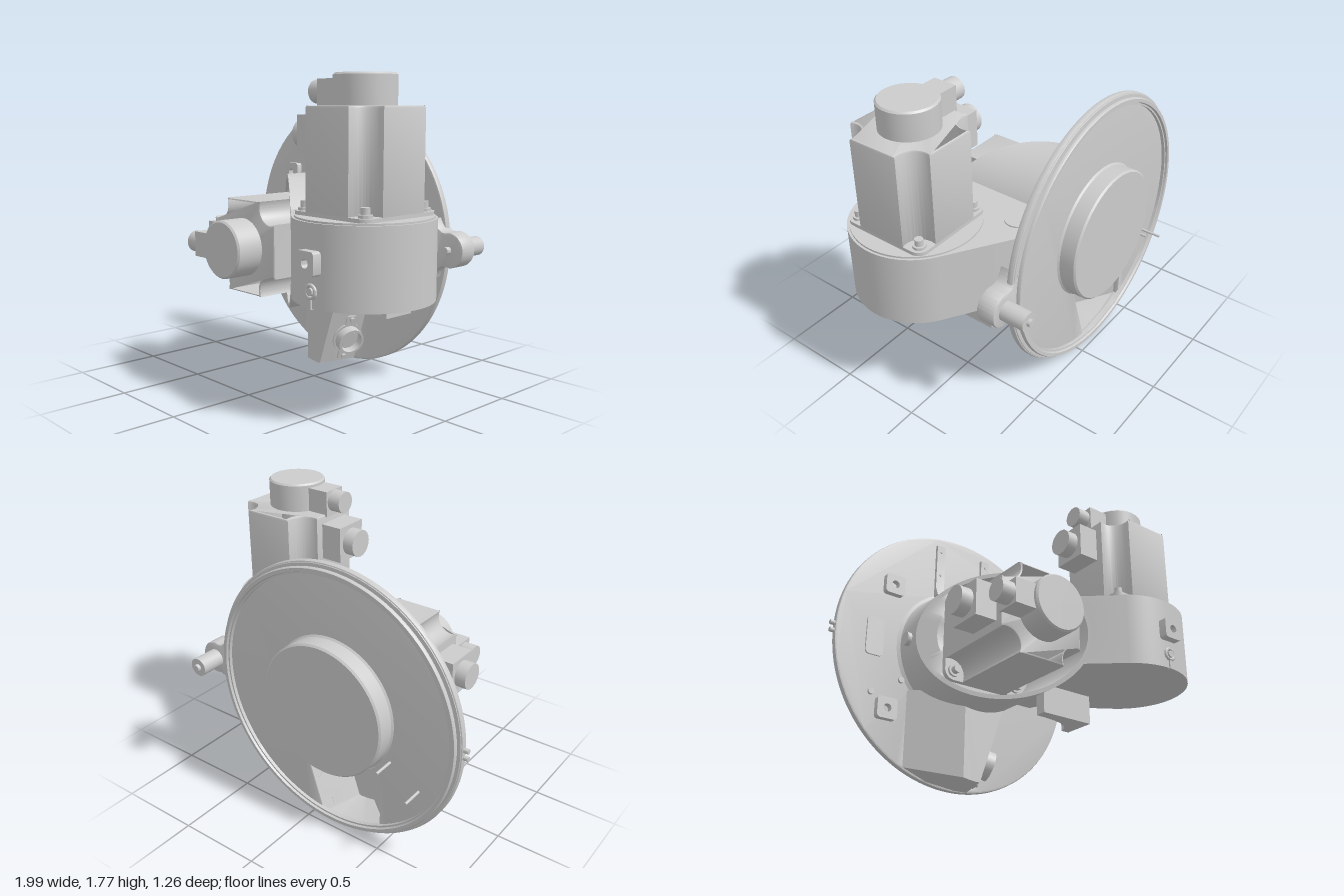
import * as THREE from 'three';
import { toCreasedNormals } from 'three/addons/utils/BufferGeometryUtils.js';

const material = new THREE.MeshStandardMaterial({ color: 0xcccccc, side: THREE.DoubleSide });
const CX = -0.16, CY = 0.825;                       // main axis (along z)
const DRUM = { x: 0.615, z: 0.215, r: 0.375, y0: 0.635, y1: 1.06 };
const cut = x => -0.25 + 0.8 * (x + 0.555);          // slanted front face of the arm

function add(parent, name, geo, x = 0, y = 0, z = 0) {
  const m = new THREE.Mesh(toCreasedNormals(geo, 0.6), material);
  m.name = name;
  m.position.set(x, y, z);
  parent.add(m);
  return m;
}
const box = (w, h, d) => new THREE.BoxGeometry(w, h, d);
const cyl = (r, h, axis = 'y', n = 32) => {
  const g = new THREE.CylinderGeometry(r, r, h, n);
  return axis === 'z' ? g.rotateX(Math.PI / 2) : axis === 'x' ? g.rotateZ(Math.PI / 2) : g;
};
const V = p => p.map(([a, b]) => new THREE.Vector2(a, b));
const poly = p => new THREE.Shape(V(p));
const extrude = (shape, depth, bevel = 0, steps = 1) => new THREE.ExtrudeGeometry(shape, {
  depth, steps, curveSegments: 24, bevelEnabled: bevel > 0, bevelSize: bevel, bevelThickness: bevel, bevelOffset: -bevel, bevelSegments: 2 });
const latheZ = (p, n = 96) => new THREE.LatheGeometry(V(p), n).rotateX(Math.PI / 2);
const roundedRect = (w, h, r) => {
  const s = new THREE.Shape(), x = w / 2, y = h / 2;
  s.absarc(x - r, y - r, r, 0, Math.PI / 2);
  s.absarc(-x + r, y - r, r, Math.PI / 2, Math.PI);
  s.absarc(-x + r, -y + r, r, Math.PI, Math.PI * 1.5);
  s.absarc(x - r, -y + r, r, Math.PI * 1.5, Math.PI * 2);
  return s;
};
const circleHole = (shape, x, y, r) => {
  shape.holes.push(new THREE.Path().absarc(x, y, r, 0, Math.PI * 2, true));
  return shape;
};

// Motor standing on y = 0, connectors toward -x
function motor(name) {
  const g = new THREE.Group();
  g.name = name;
  const up = (s, h, b) => extrude(s, h, b).rotateX(-Math.PI / 2);
  add(g, 'motorFlange', up(roundedRect(0.54, 0.54, 0.06), 0.03));
  const body = new THREE.Shape(), c = 0.235, a0 = Math.acos(0.035 / 0.09);
  // square with a scooped notch at every corner
  for (let k = 0; k < 4; k++) {
    const q = k * Math.PI / 2, d = Math.SQRT2 * c, t = q + Math.PI / 4;
    body.absarc(d * Math.cos(t), d * Math.sin(t), 0.09, q - a0, q - 2 * Math.PI + Math.PI / 2 + a0, true);
  }
  add(g, 'motorBody', up(body, 0.53, 0.012), 0, 0.012 + 0.008);
  add(g, 'motorCap', new THREE.LatheGeometry(V([[0.165, 0], [0.165, 0.165], [0.155, 0.175], [0, 0.175]]), 48), 0, 0.55, 0);
  add(g, 'capConnectorBlock', box(0.28, 0.15, 0.145), -0.14, 0.625, 0);
  add(g, 'capConnector', cyl(0.063, 0.09, 'x'), -0.315, 0.635, 0);
  add(g, 'sideConnectorBlock', box(0.14, 0.21, 0.21), -0.33, 0.41, 0);
  add(g, 'sideConnector', cyl(0.08, 0.08, 'x'), -0.43, 0.41, 0);
  for (const x of [-0.215, 0.215]) for (const z of [-0.215, 0.215]) {
    add(g, 'boltWasher', cyl(0.036, 0.02), x, 0.035, z);
    add(g, 'boltHead', cyl(0.024, 0.04, 'y', 12), x, 0.06, z);
  }
  return g;
}

// Square mounting pad with a hole, facing +z
const pad = (parent, x, y, z, depth) =>
  add(parent, 'mountingPad', extrude(circleHole(roundedRect(0.125, 0.125, 0.02), 0, 0, 0.024), depth), x, y, z);

export function createModel() {
  const root = new THREE.Group();

  // Cable pedestal outlines: at the disc and at its front
  const backLine = [[-0.51, 0.55], [-0.51, 0.1], [-0.35, 0.04], [-0.16, 0.018], [-0.07, 0.02], [0.08, 0.5]];
  const frontLine = [[-0.25, 0.55], [-0.25, 0.03], [-0.2, 0.022], [-0.16, 0.018], [-0.14, 0.02], [0.02, 0.5]];

  // Base disc with the opening into the pedestal
  const disc = new THREE.Shape().absarc(CX, CY, 0.815, 0, Math.PI * 2);
  disc.holes.push(new THREE.Path(V(backLine.map(([x, y]) => [-0.2 + (x + 0.2) * 0.9, 0.3 + (y - 0.3) * 0.9]).reverse())));
  add(root, 'baseDisc', new THREE.ExtrudeGeometry(disc, { depth: 0.02, curveSegments: 96, bevelSize: 0.01, bevelThickness: 0.01, bevelOffset: -0.01, bevelSegments: 2 }), 0, 0, -0.445);
  add(root, 'rearRim', latheZ([[0.75, -0.45], [0.75, -0.475], [0.76, -0.475], [0.765, -0.488], [0.785, -0.488], [0.79, -0.48], [0.79, -0.468],
    [0.775, -0.465], [0.775, -0.46], [0.805, -0.458], [0.81, -0.445]]), CX, CY, 0);
  add(root, 'rearHub', latheZ([[0.41, -0.45], [0.395, -0.465], [0.395, -0.555], [0.385, -0.565], [0, -0.565]]), CX, CY, 0);

  // Bored hub, its front rim cut off on a slant
  const hub = latheZ([[0.425, -0.415], [0.405, -0.405], [0.395, -0.38], [0.395, 1], [0.37, 1], [0.37, -0.16], [0.3, -0.16], [0, -0.16]]);
  const hp = hub.attributes.position;
  for (let i = 0; i < hp.count; i++) {
    const c = cut(hp.getX(i) + CX);
    if (hp.getZ(i) > 0.9) hp.setZ(i, c);
    else hp.setZ(i, Math.min(hp.getZ(i), c));
  }
  add(root, 'hub', hub, CX, CY, 0);
  add(root, 'hubSideBolt', cyl(0.04, 0.04, 'x', 16), -0.56, CY, -0.33);

  // Arm: neck and drum in one plan outline, its near end wrapped on the bore
  const arm = new THREE.Shape();
  arm.moveTo(0.2, 0.41);
  arm.lineTo(0.2, -cut(0.2));
  arm.absarc(DRUM.x, -DRUM.z, DRUM.r, Math.PI + 0.9, 2 * Math.PI + 1.03);
  arm.lineTo(0.44, 0.335);
  arm.quadraticCurveTo(0.4, 0.355, 0.39, 0.41);
  const armGeo = extrude(arm, DRUM.y1 - DRUM.y0, 0, 16).rotateX(-Math.PI / 2).translate(0, DRUM.y0, 0);
  const ap = armGeo.attributes.position;
  for (let i = 0; i < ap.count; i++) if (ap.getX(i) < 0.21) {
    const x = CX + Math.sqrt(0.382 ** 2 - (ap.getY(i) - CY) ** 2);
    if (ap.getZ(i) > 0) ap.setZ(i, cut(x));
    ap.setX(i, x);
  }
  add(root, 'arm', armGeo);
  add(root, 'drumCover', cyl(0.362, 0.012, 'y', 64), DRUM.x, 1.064, DRUM.z);
  add(root, 'armPlug', cyl(0.077, 0.01), 0.305, 1.063, -0.235);
  pad(root, 0.62, 0.865, 0.57, 0.065);
  add(root, 'drainRing', new THREE.TorusGeometry(0.032, 0.01, 10, 28), 0.62, 0.72, 0.592);
  add(root, 'drainPlug', cyl(0.02, 0.03, 'z', 16), 0.62, 0.72, 0.59);
  add(root, 'drainStem', box(0.016, 0.06, 0.02), 0.618, 0.66, 0.588);

  // Curved gusset below the arm
  const gusset = new THREE.Shape();
  gusset.moveTo(0.2, 0.03);
  gusset.lineTo(0.555, 0.03);
  gusset.lineTo(0.555, 0.235);
  gusset.lineTo(0.5, 0.235);
  gusset.quadraticCurveTo(0.48, 0.1, 0.2, 0.1);
  add(root, 'gusset', extrude(gusset, 0.18).rotateX(-Math.PI / 2), 0, 0.46, 0);

  // Motors
  const m1 = motor('frontMotor');
  m1.rotation.x = Math.PI / 2;
  m1.position.set(-0.155, CY, -0.16);
  const m2 = motor('upperMotor');
  m2.position.set(DRUM.x, DRUM.y1, DRUM.z);
  root.add(m1, m2);

  // Hollow pedestal: walls between the two outlines plus a front plate
  const pts = [], quad = (a, b, c, d) => pts.push(...a, ...b, ...c, ...a, ...c, ...d);
  for (let i = 0; i < backLine.length - 1; i++)
    quad([...backLine[i], -0.425], [...backLine[i + 1], -0.425], [...frontLine[i + 1], -0.18], [...frontLine[i], -0.18]);
  const walls = new THREE.BufferGeometry();
  walls.setAttribute('position', new THREE.Float32BufferAttribute(pts, 3));
  add(root, 'pedestalWalls', walls);
  add(root, 'pedestalFront', new THREE.ShapeGeometry(poly(frontLine)), 0, 0, -0.18);

  // Cable socket on the slanted pedestal face
  const socket = new THREE.Group();
  socket.name = 'cableSocket';
  const u = new THREE.Vector3(0.15, 0.48, 0).normalize();
  const n = u.clone().cross(new THREE.Vector3(-0.07, 0, 0.24)).normalize();
  socket.setRotationFromMatrix(new THREE.Matrix4().makeBasis(u.clone().cross(n), u, n));
  socket.position.set(-0.05, 0.18, -0.325);
  add(socket, 'socketFlange', extrude(new THREE.Shape().absarc(0, 0, 0.1, 0, Math.PI * 2), 0.015));
  add(socket, 'socketBarrel', latheZ([[0.085, 0], [0.085, 0.07], [0.07, 0.07], [0.07, 0.02]], 40));
  add(socket, 'socketCore', cyl(0.052, 0.03, 'z'), 0, 0, 0.025);
  for (const s of [-1, 1]) {
    add(socket, 'socketEar', extrude(roundedRect(0.075, 0.08, 0.02), 0.015), 0, s * 0.115, 0);
    add(socket, 'socketScrew', cyl(0.017, 0.02, 'z', 12), 0, s * 0.13, 0.02);
  }
  root.add(socket);

  // Fittings on the disc face
  for (const x of [-0.322, 0.012]) {
    add(root, 'ribStrip', extrude(poly([[0.415, 1.2], [0.37, 1.2], [0.395, 1.26], [0.395, 1.56], [0.415, 1.56]]), 0.058)
      .rotateY(Math.PI / 2).scale(1, 1, 1), x - 0.029, 0, 0).geometry.scale(1, 1, 1);
    for (const y of [1.35, 1.515]) add(root, 'stripScrew', cyl(0.008, 0.01, 'z', 12), x, y, -0.393);
  }
  for (const y of [1.18, 0.405]) pad(root, -0.635, y, -0.418, 0.04);
  add(root, 'labelPlate', extrude(roundedRect(0.11, 0.235, 0.025), 0.012), -0.73, 0.828, -0.417);
  for (const [x, y] of [[-0.545, 0.6], [-0.73, 0.49]]) {
    add(root, 'pinBoss', cyl(0.018, 0.03, 'z', 20), x, y, -0.415);
    add(root, 'rearPin', cyl(0.008, 0.14, 'z', 12), x, y, -0.51);
  }
  for (const y of [0.805, 0.85]) add(root, 'edgePin', cyl(0.014, 0.05, 'x', 12), -0.975, y, -0.435);

  // Side lug with its locating pin
  const lug = new THREE.Shape();
  lug.moveTo(0.61, 0.655);
  lug.quadraticCurveTo(0.645, 0.74, 0.7, 0.728);
  lug.absarc(0.715, 0.825, 0.1, -Math.PI / 2, Math.PI / 2);
  lug.lineTo(0.7, 0.922);
  lug.quadraticCurveTo(0.645, 0.91, 0.61, 0.995);
  add(root, 'sideLug', extrude(lug, 0.095, 0.008), 0, 0, -0.455);
  add(root, 'lugPin', cyl(0.055, 0.16, 'z'), 0.715, CY, -0.53);
  add(root, 'lugPinCore', cyl(0.022, 0.31, 'z', 20), 0.715, CY, -0.475);
  return root;
}
